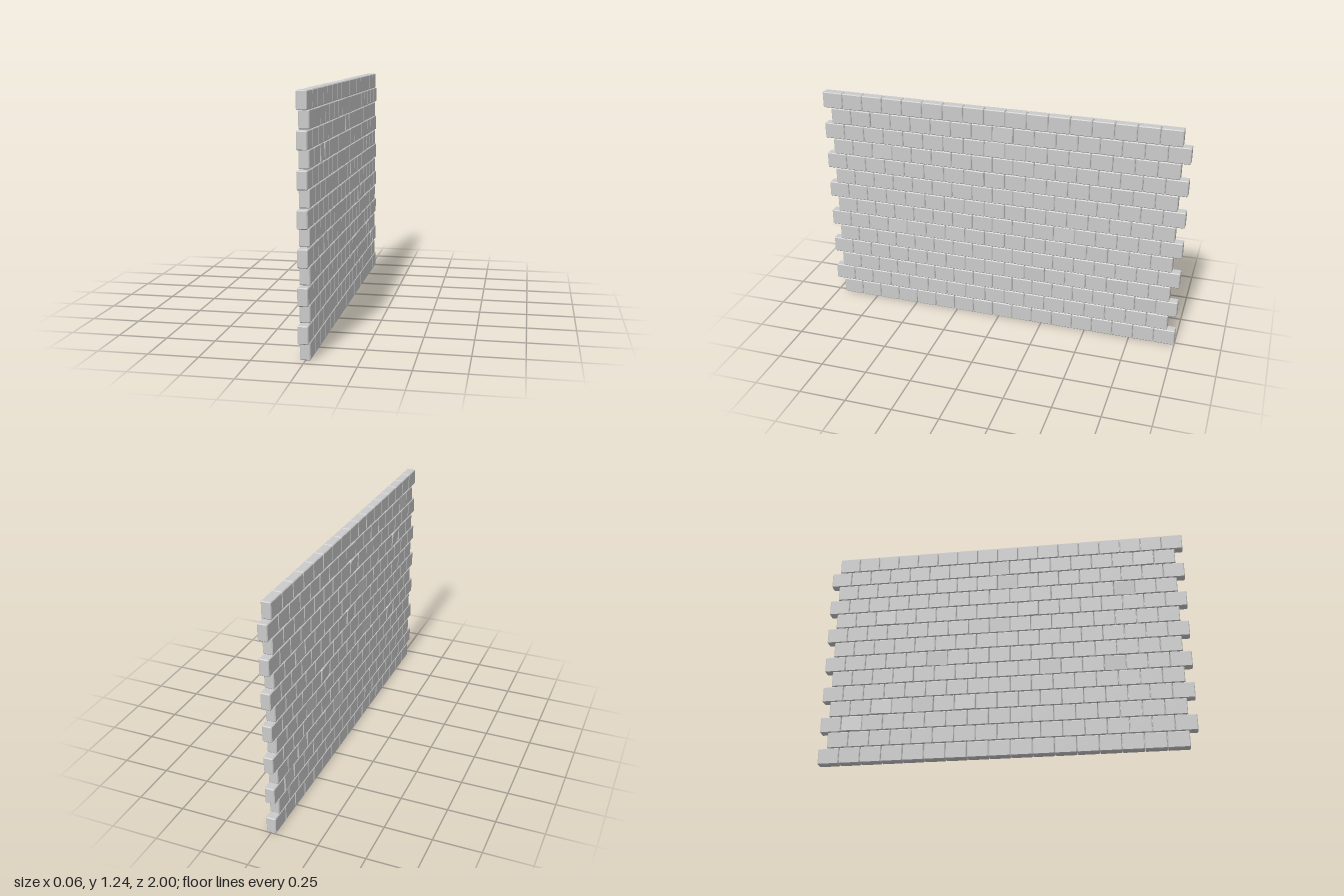
import * as THREE from 'three';

const COURSES = 14, PER_COURSE = 17;
const LENGTH = 0.115, HEIGHT = 0.0889, DEPTH = 0.051, CHAMFER = 0.004;

// Small seeded generator for the uneven laying of the bricks
function seeded(seed) {
  let s = seed;
  return () => {
    s = (s * 16807) % 2147483647;
    return s / 2147483647;
  };
}

// Brick with chamfered edges, thickness along x and length along z
function brickGeometry(length, height, depth, c) {
  const w = length / 2 - c, h = height / 2 - c, k = c * 0.5;
  const face = new THREE.Shape([
    [-w + k, -h], [w - k, -h], [w, -h + k], [w, h - k],
    [w - k, h], [-w + k, h], [-w, h - k], [-w, -h + k],
  ].map(([x, y]) => new THREE.Vector2(x, y)));
  const geo = new THREE.ExtrudeGeometry(face, {
    depth: depth - 2 * c, bevelEnabled: true,
    bevelSize: c, bevelThickness: c, bevelSegments: 1,
  });
  return geo.center().rotateY(Math.PI / 2);
}

export function createModel() {
  const wall = new THREE.Group();
  wall.name = 'brickWall';
  const material = new THREE.MeshStandardMaterial({ color: 0xcccccc, flatShading: true });
  const geometry = brickGeometry(LENGTH - 0.0015, HEIGHT - 0.001, DEPTH, CHAMFER);
  const random = seeded(4711);
  const halfRow = PER_COURSE * LENGTH / 2;

  for (let row = 0; row < COURSES; row++) {
    const course = new THREE.Group();
    course.name = `course${row + 1}`;
    // Running bond: alternate courses reach the back or the front end
    const start = row % 2 === 0 ? -1 : 1 - 2 * halfRow;
    course.position.set(-0.001, (row + 0.5) * HEIGHT, start);

    for (let i = 0; i < PER_COURSE; i++) {
      const brick = new THREE.Mesh(geometry, material);
      brick.name = 'brick';
      brick.position.z = (i + 0.5) * LENGTH;
      // A few bricks in the body of the wall sit slightly askew
      const inner = row > 0 && row < COURSES - 1 && i > 0 && i < PER_COURSE - 1;
      const loose = random() < 0.15;
      const turn = (random() - 0.5) * 0.12, lean = (random() - 0.5) * 0.12, roll = (random() - 0.5) * 0.02;
      if (inner && loose) brick.rotation.set(roll, turn, lean);
      course.add(brick);
    }
    wall.add(course);
  }
  return wall;
}
